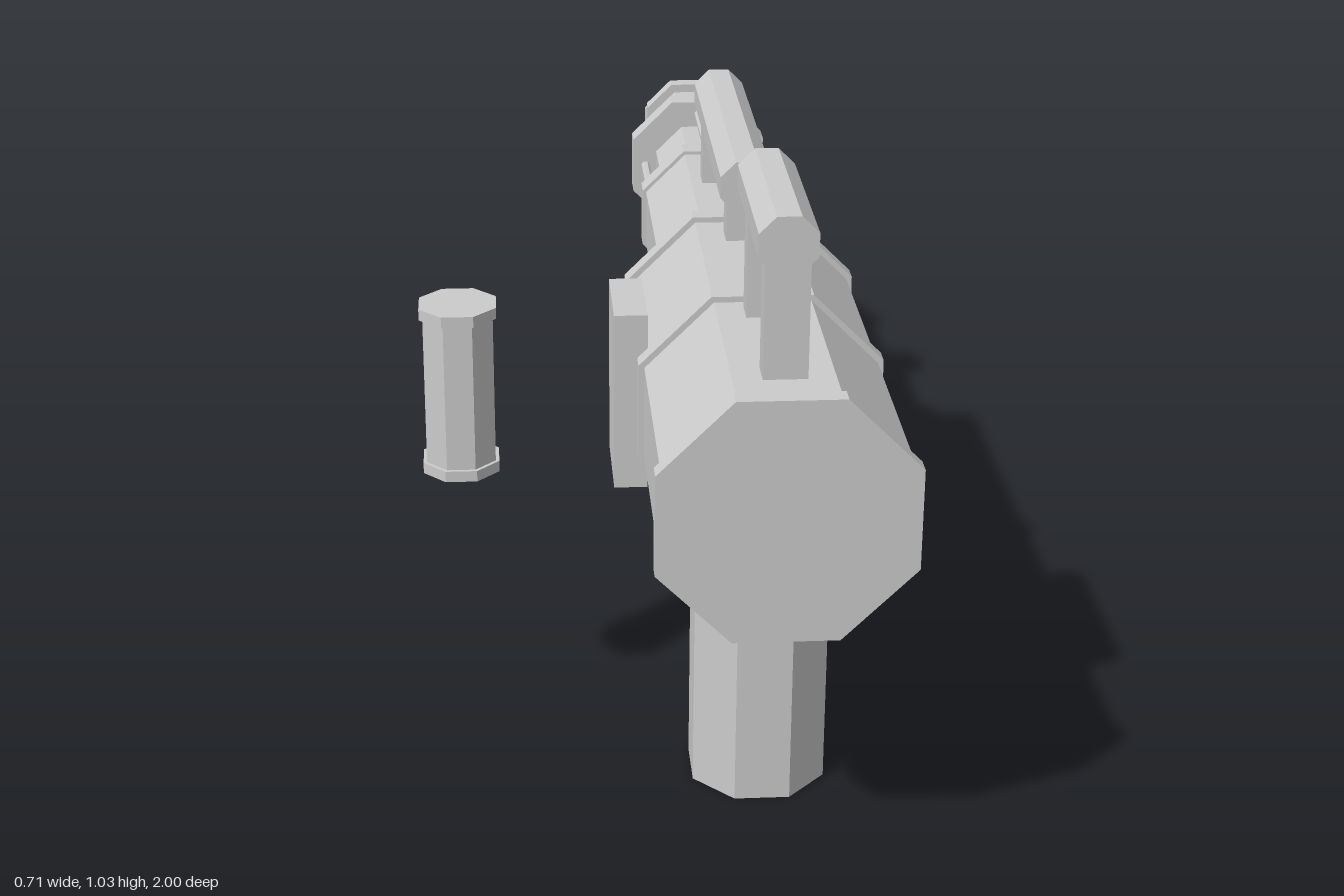
import * as THREE from 'three';

const CX = 0.165, CY = 0.607; // barrel axis

export function createModel() {
  const model = new THREE.Group();
  const mat = new THREE.MeshStandardMaterial({ color: 0xcccccc, flatShading: true });

  function add(name, geo, x = 0, y = 0, z = 0) {
    const m = new THREE.Mesh(geo, mat);
    m.name = name;
    m.position.set(x, y, z);
    model.add(m);
    return m;
  }

  // Upright octagonal prism with flats facing the axes; size is half the width across flats
  const octagon = (apothem, length) => {
    const r = apothem / Math.cos(Math.PI / 8);
    return new THREE.CylinderGeometry(r, r, length, 8).rotateY(Math.PI / 8);
  };
  const alongZ = (name, apothem, z0, z1, x = CX, y = CY) =>
    add(name, octagon(apothem, z0 - z1).rotateX(Math.PI / 2), x, y, (z0 + z1) / 2);
  const alongY = (name, apothem, y0, y1, x, z) =>
    add(name, octagon(apothem, y1 - y0), x, (y0 + y1) / 2, z);
  const box = (name, x0, x1, y0, y1, z0, z1) =>
    add(name, new THREE.BoxGeometry(x1 - x0, y1 - y0, z1 - z0),
      (x0 + x1) / 2, (y0 + y1) / 2, (z0 + z1) / 2);

  // Main housing and its rings
  alongZ('housing', 0.178, 0.985, 0.255);
  alongZ('endRing', 0.187, 1.0, 0.972);
  alongZ('middleRing', 0.187, 0.618, 0.588);
  alongZ('forwardRing', 0.187, 0.27, 0.238);

  // Stepped barrel
  alongZ('barrel', 0.121, 0.25, -0.26);
  alongZ('innerCollar', 0.127, -0.246, -0.289);
  alongZ('innerBarrel', 0.084, -0.28, -0.525);
  alongZ('outerCollar', 0.127, -0.545, -0.588);
  alongZ('neck', 0.066, -0.58, -0.82);
  alongZ('neckFlange', 0.082, -0.81, -0.842);

  // Rods joining the collars
  for (let i = 0; i < 4; i++) {
    const a = i * Math.PI / 2;
    alongZ('collarRod', 0.008, -0.28, -0.555, CX + 0.103 * Math.cos(a), CY + 0.103 * Math.sin(a));
  }

  // Two prongs meeting at the tip
  const prongs = new THREE.Shape([
    [-0.087, 0.825], [-0.02, 1.0], [0.02, 1.0], [0.087, 0.825], [0.05, 0.811],
    [0, 0.955], [-0.05, 0.811],
  ].map(([x, y]) => new THREE.Vector2(x, y)));
  const prongGeo = new THREE.ExtrudeGeometry(prongs, { depth: 0.064, bevelEnabled: false });
  prongGeo.translate(0, 0, -0.032).rotateX(-Math.PI / 2);
  add('tipProngs', prongGeo, CX, CY - 0.002, 0);

  // Top handles on posts
  alongZ('shortHandle', 0.042, 0.918, 0.625, CX, 0.988);
  box('shortHandlePost', 0.134, 0.198, 0.76, 0.98, 0.866, 0.908);
  box('shortHandlePost', 0.134, 0.198, 0.76, 0.98, 0.637, 0.68);
  alongZ('longHandle', 0.042, 0.365, -0.143, CX, 0.878);
  box('longHandlePost', 0.134, 0.198, 0.76, 0.87, 0.311, 0.357);
  box('longHandlePost', 0.134, 0.198, 0.7, 0.87, -0.129, -0.087);

  // Grip and trigger
  alongY('grip', 0.104, 0, 0.5, CX, 0.652);
  const trigger = add('trigger', new THREE.BoxGeometry(0.06, 0.24, 0.046), CX, 0.39, 0.44);
  trigger.rotation.x = -0.4;

  // Side plate and the separate canister beside it
  box('sidePlate', -0.057, -0.005, 0.46, 0.75, 0.423, 0.577);
  alongY('canister', 0.054, 0.475, 0.74, -0.295, 0.5);
  alongY('canisterCap', 0.0595, 0.468, 0.486, -0.295, 0.5);
  alongY('canisterCap', 0.0595, 0.728, 0.746, -0.295, 0.5);

  return model;
}
